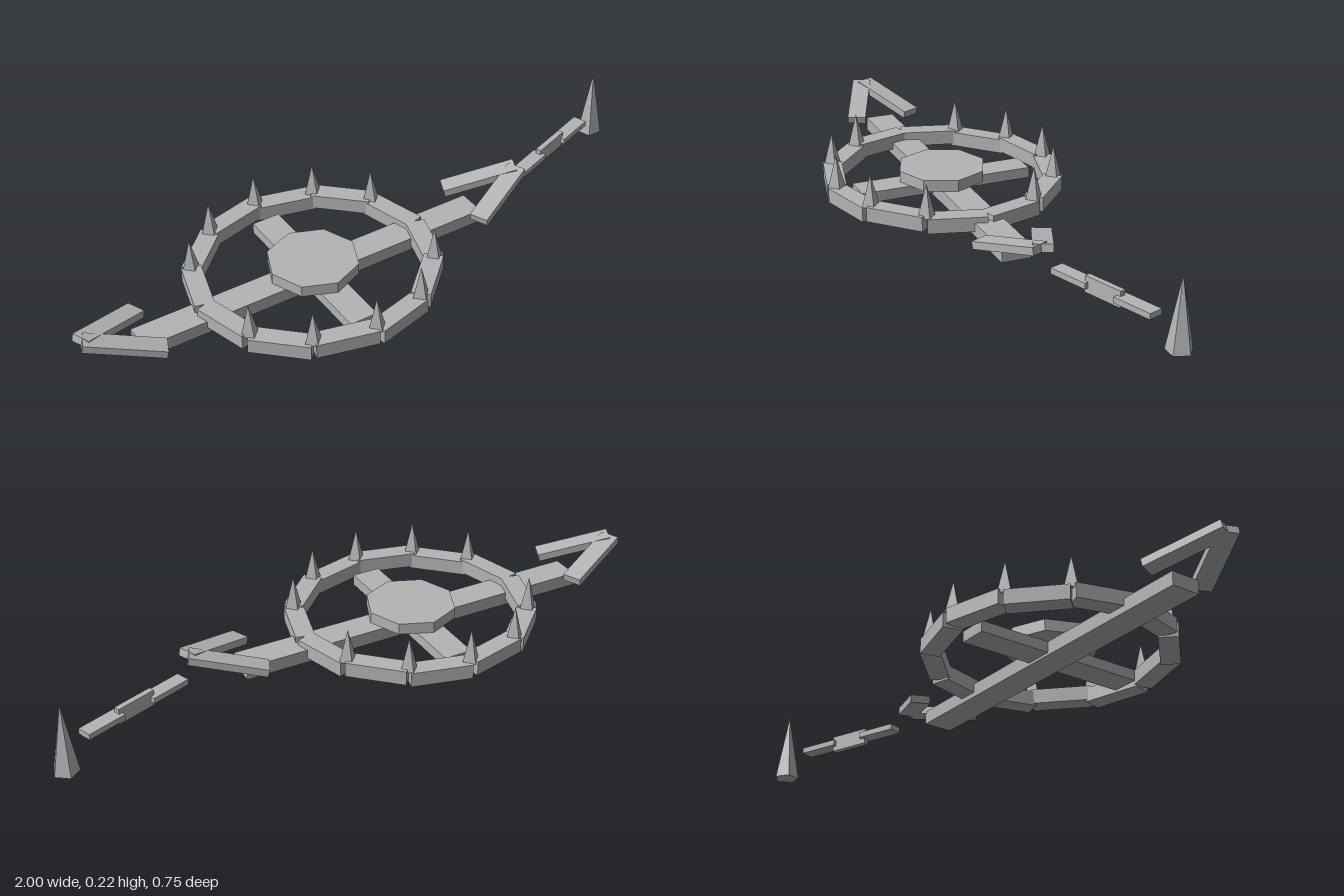
import * as THREE from 'three';

export function createModel() {
  const group = new THREE.Group();
  const steel = new THREE.MeshStandardMaterial({ color: 0xb4b4b4, flatShading: true });
  steel.name = 'steel';
  const cx = -0.24; // centre of the trap itself

  function add(name, geometry, x, y, z) {
    const mesh = new THREE.Mesh(geometry, steel);
    mesh.name = name;
    mesh.position.set(x, y, z);
    group.add(mesh);
    return mesh;
  }

  // Box laid from point a to point b
  function beam(name, a, b, width, height) {
    const mid = a.clone().add(b).multiplyScalar(0.5);
    const mesh = add(name, new THREE.BoxGeometry(width, height, a.distanceTo(b)), mid.x, mid.y, mid.z);
    mesh.lookAt(b);
    return mesh;
  }

  // Base cross and trigger plate
  add('baseBar', new THREE.BoxGeometry(1.16, 0.042, 0.092), cx, 0.043, 0);
  add('crossBar', new THREE.BoxGeometry(0.09, 0.034, 0.56), cx, 0.047, 0);
  add('triggerPlate', new THREE.CylinderGeometry(0.14, 0.14, 0.036, 8), cx, 0.082, 0);

  // Two mirrored jaws: six straight segments each, with teeth at the inner joints
  const jawPoint = (i, side, y) => {
    const t = (i * Math.PI) / 6;
    return new THREE.Vector3(cx + 0.364 * Math.cos(t), y, side * 0.346 * Math.sin(t));
  };
  const toothGeometry = new THREE.ConeGeometry(0.028, 0.105, 4);
  for (const side of [1, -1]) {
    for (let i = 0; i < 6; i++) {
      const y = i % 2 ? 0.0655 : 0.0595;
      beam('jawSegment', jawPoint(i, side, y), jawPoint(i + 1, side, y), 0.06, 0.046);
      if (i > 0) {
        const p = jawPoint(i, side, 0.1325);
        add('tooth', toothGeometry, p.x, p.y, p.z);
      }
    }
  }

  // Raised V-shaped springs at both ends
  for (const end of [1, -1]) {
    for (const side of [1, -1]) {
      const foot = new THREE.Vector3(cx + end * 0.535, 0.077, side * 0.097);
      const tip = new THREE.Vector3(cx + end * 0.747, 0.131, side * 0.004);
      beam('springArm', foot, tip, 0.06, 0.024);
    }
  }

  // Chain links, alternately flat and upright
  for (let i = 0; i < 3; i++) {
    const upright = i === 1;
    const link = add('chainLink', new THREE.BoxGeometry(0.132, upright ? 0.05 : 0.018, upright ? 0.018 : 0.045),
      0.6 + i * 0.113, 0.078, -0.053 - i * 0.039);
    link.rotation.y = 0.34;
  }

  // Ground stake
  add('stake', new THREE.ConeGeometry(0.04, 0.22, 5), 0.96, 0.11, -0.187).rotation.y = Math.PI;

  return group;
}
